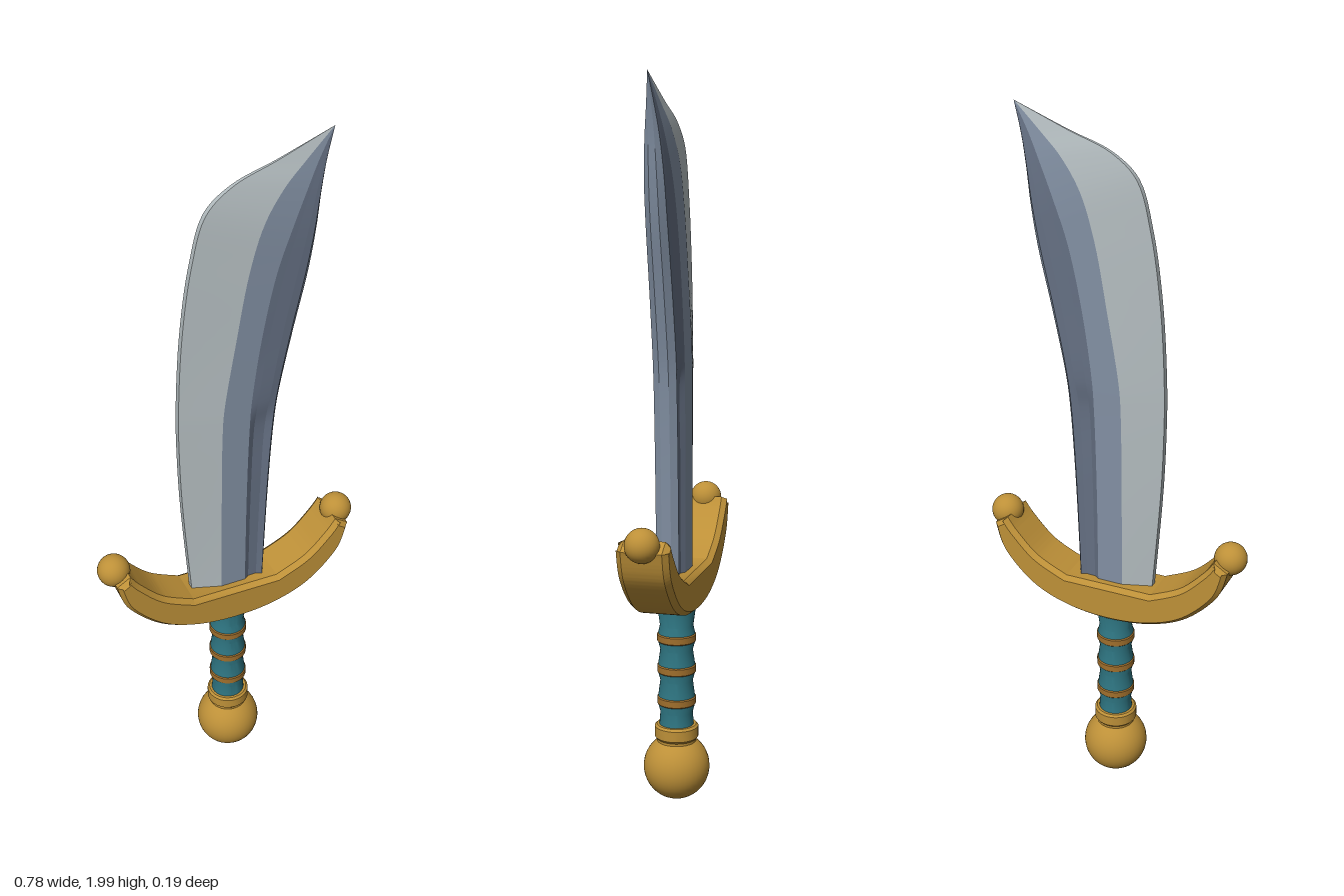
import * as THREE from 'three';
import { mergeGeometries, toCreasedNormals } from 'three/addons/utils/BufferGeometryUtils.js';

const mat = (name, color) => {
  const m = new THREE.MeshStandardMaterial({ color });
  m.name = name;
  return m;
};

// Blade stations: edge, bevel line, ridge line, spine (x, y each), thickness, groove depth
const STATIONS = [
  [-0.113, 0.62, -0.036, 0.62, 0.038, 0.62, 0.103, 0.62, 1, 1],
  [-0.14, 1.0, -0.034, 1.0, 0.042, 1.0, 0.118, 1.0, 1, 1],
  [-0.145, 1.2, -0.031, 1.2, 0.048, 1.2, 0.131, 1.2, 1, 1],
  [-0.144, 1.28, -0.026, 1.28, 0.053, 1.28, 0.141, 1.28, 1, 0],
  [-0.13, 1.5, 0.008, 1.48, 0.08, 1.47, 0.178, 1.46, 0.96, 0],
  [-0.1, 1.7, 0.045, 1.67, 0.12, 1.65, 0.217, 1.63, 0.9, 0],
  [-0.06, 1.83, 0.085, 1.79, 0.16, 1.76, 0.235, 1.74, 0.82, 0],
  [0.01, 1.89, 0.14, 1.87, 0.2, 1.85, 0.247, 1.84, 0.6, 0],
  [0.13, 1.935, 0.2, 1.925, 0.235, 1.92, 0.26, 1.915, 0.32, 0],
  [0.28, 1.995, 0.28, 1.995, 0.28, 1.995, 0.28, 1.995, 0, 0],
];

// Half cross-section from cutting edge to spine
function halfSection([lx, ly, bx, by, dx, dy, sx, sy, th, g]) {
  const between = (k, z) => [dx + (sx - dx) * k, dy + (sy - dy) * k, z * th];
  return [
    [lx, ly, 0.01 * th],
    [bx, by, 0.037 * th],
    [dx, dy, 0.036 * th],
    between(0.22, 0.035 - 0.009 * g),
    between(0.6, 0.034 - 0.009 * g),
    between(0.84, 0.032),
    between(1, 0.013),
  ];
}

// Smooth strip between two lengthwise curves, creased against its neighbours
function strip(a, b, steps = 54) {
  const pos = [], index = [];
  for (let i = 0; i <= steps; i++) {
    pos.push(...a.getPoint(i / steps).toArray(), ...b.getPoint(i / steps).toArray());
    const k = i * 2;
    if (i < steps) index.push(k, k + 1, k + 3, k, k + 3, k + 2);
  }
  const geo = new THREE.BufferGeometry();
  geo.setAttribute('position', new THREE.Float32BufferAttribute(pos, 3));
  geo.setIndex(index);
  geo.computeVertexNormals();
  return geo;
}

export function createModel() {
  const model = new THREE.Group();
  model.name = 'curvedSword';
  const gold = mat('gold', 0xbd9038);
  const bronze = mat('bronze binding', 0xa06f2c);
  const teal = mat('teal grip', 0x307986);
  const edgeSteel = mat('edge steel', 0xb2bbbe);
  const steel = mat('blue steel', 0x8290a3);
  const darkSteel = mat('dark steel', 0x657083);

  const add = (name, geo, material, x = 0, y = 0, z = 0) => {
    const mesh = new THREE.Mesh(geo, material);
    mesh.name = name;
    mesh.position.set(x, y, z);
    model.add(mesh);
    return mesh;
  };
  const lathe = (pts, seg = 32) =>
    toCreasedNormals(new THREE.LatheGeometry(pts.map((p) => new THREE.Vector2(...p)), seg), 0.5);

  // Blade: lengthwise curves run round the section, front face then back face
  const sections = STATIONS.map(halfSection);
  const curve = (j, side) =>
    new THREE.CatmullRomCurve3(sections.map((s) => new THREE.Vector3(s[j][0], s[j][1], s[j][2] * side)));
  const front = [0, 1, 2, 3, 4, 5, 6].map((j) => curve(j, 1));
  const back = [6, 5, 4, 3, 2, 1, 0].map((j) => curve(j, -1));
  const ring = [...front, ...back];
  const bands = ring.map((c, i) => strip(c, ring[(i + 1) % ring.length]));
  const pick = (ids) => mergeGeometries(ids.map((i) => bands[i]));
  add('bladeEdge', pick([0, 12, 13]), edgeSteel);
  add('bladeFlatAndSpine', pick([1, 5, 6, 7, 11]), steel);
  add('bladeRearAndGroove', pick([2, 3, 4, 8, 9, 10]), darkSteel);

  // Crescent guard with chamfered faces
  const outer = [[0.355, 0.8], [0.325, 0.715], [0.235, 0.625], [0.125, 0.579], [0, 0.565]];
  const inner = [[0.13, 0.678], [0.22, 0.722], [0.285, 0.785], [0.315, 0.825]];
  const mirror = (pts) => pts.map(([x, y]) => [-x, y]);
  const vec = (pts) => pts.map((p) => new THREE.Vector2(...p));
  const shape = new THREE.Shape();
  shape.moveTo(0.355, 0.8);
  shape.splineThru(vec([...outer.slice(1), ...mirror(outer.slice(0, 4)).reverse()]));
  shape.lineTo(-0.315, 0.825);
  shape.splineThru(vec(mirror(inner).reverse().slice(1)));
  shape.lineTo(0.13, 0.678);
  shape.splineThru(vec(inner.slice(1)));
  shape.closePath();
  const guard = new THREE.ExtrudeGeometry(shape, {
    depth: 0.11, bevelThickness: 0.015, bevelSize: 0.012, bevelOffset: -0.012,
    bevelSegments: 1, curveSegments: 24,
  });
  guard.translate(0, 0, -0.055);
  add('guard', toCreasedNormals(guard, 0.5), gold);
  for (const s of [1, -1]) {
    add(s > 0 ? 'leftGuardBall' : 'rightGuardBall', new THREE.SphereGeometry(0.046, 28, 18), gold, s * 0.344, 0.818);
  }

  // Grip, swelling towards each binding
  const bindings = [0.297, 0.39, 0.48];
  const grip = [[0.05, 0.21]];
  for (const y of bindings) grip.push([0.046, y - 0.035], [0.052, y - 0.013], [0.052, y + 0.013]);
  grip.push([0.047, 0.515], [0.056, 0.58]);
  add('grip', lathe(grip), teal);
  bindings.forEach((y, i) =>
    add(`gripBinding${i + 1}`, lathe([[0.05, y - 0.014], [0.055, y - 0.009], [0.055, y + 0.009], [0.05, y + 0.014]]), bronze));

  // Collar and pommel
  add('collar', lathe([[0, 0.16], [0.055, 0.165], [0.056, 0.183], [0.062, 0.19], [0.062, 0.22], [0.056, 0.226], [0, 0.226]]), gold);
  add('pommel', new THREE.SphereGeometry(0.094, 36, 24), gold, 0, 0.1);

  return model;
}
